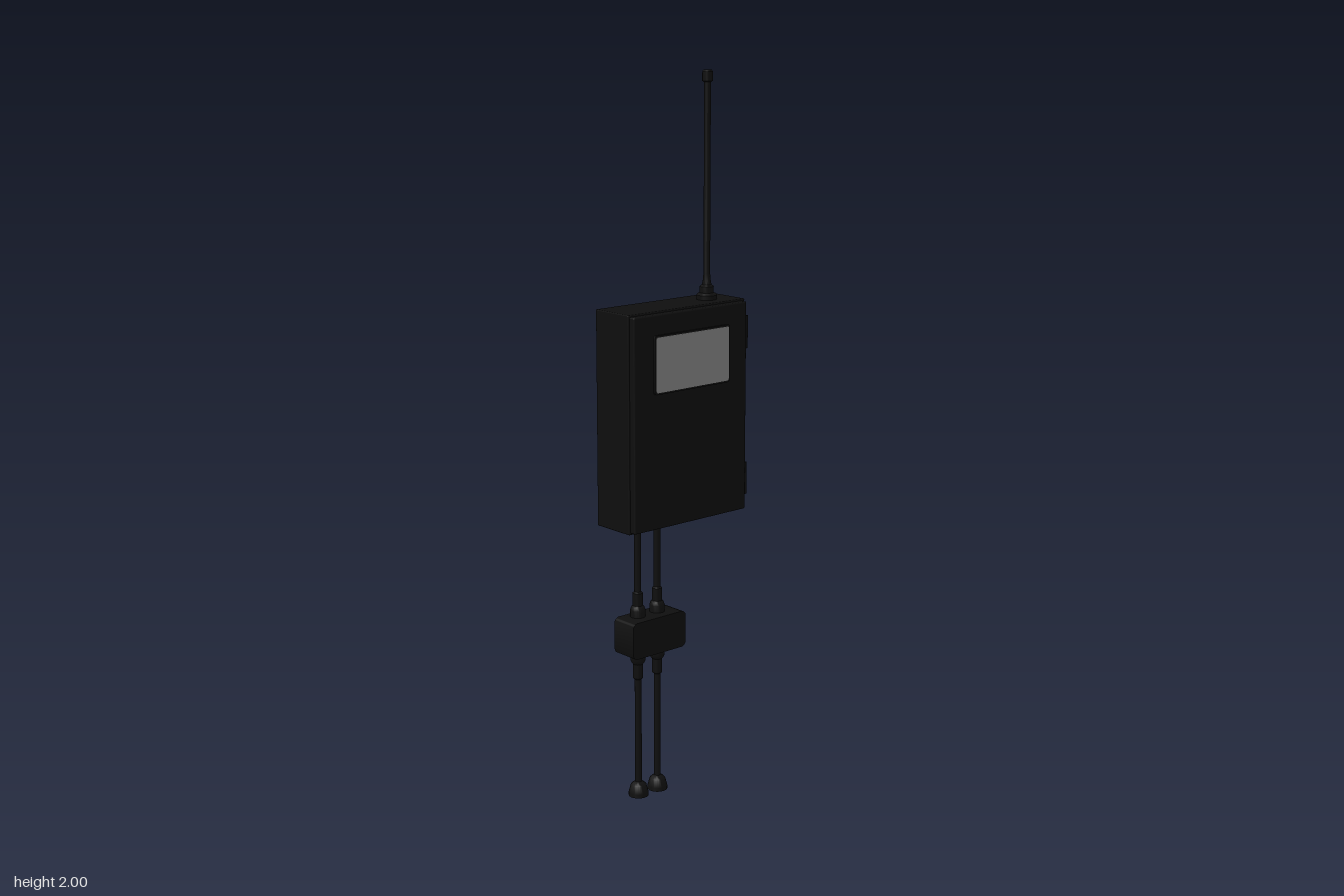
import * as THREE from 'three';
import { RoundedBoxGeometry } from 'three/addons/geometries/RoundedBoxGeometry.js';
import { toCreasedNormals } from 'three/addons/utils/BufferGeometryUtils.js';

const black = new THREE.MeshStandardMaterial({ color: 0x0e0e0e });
const glass = new THREE.MeshStandardMaterial({ color: 0x808080 });

// rounded rectangle in the XY plane, extruded along z
function plate(x0, x1, y0, y1, z0, z1, r) {
  const s = new THREE.Shape();
  s.moveTo(x0 + r, y0);
  s.lineTo(x1 - r, y0);
  s.absarc(x1 - r, y0 + r, r, -Math.PI / 2, 0);
  s.absarc(x1 - r, y1 - r, r, 0, Math.PI / 2);
  s.absarc(x0 + r, y1 - r, r, Math.PI / 2, Math.PI);
  s.absarc(x0 + r, y0 + r, r, Math.PI, Math.PI * 1.5);
  const g = new THREE.ExtrudeGeometry(s, { depth: z1 - z0, bevelEnabled: false, curveSegments: 6 });
  g.translate(0, 0, z0);
  return toCreasedNormals(g, 0.7);
}

// turned part from [radius, y] pairs, bottom to top
function turned(profile, segments = 24) {
  const pts = profile.map(([r, y]) => new THREE.Vector2(r, y));
  return toCreasedNormals(new THREE.LatheGeometry(pts, segments), 0.6);
}

export function createModel() {
  const model = new THREE.Group();
  const add = (name, geometry, material = black, x = 0, y = 0, z = 0) => {
    const m = new THREE.Mesh(geometry, material);
    m.name = name;
    m.position.set(x, y, z);
    model.add(m);
    return m;
  };

  // enclosure and front door
  add('enclosure', new RoundedBoxGeometry(0.414, 0.59, 0.132, 2, 0.003), black, -0.002, 1.095, -0.014);
  add('door', new RoundedBoxGeometry(0.4, 0.58, 0.022, 2, 0.004), black, -0.005, 1.095, 0.06);

  // display window
  add('screenFrame', plate(-0.139, 0.129, 1.173, 1.331, 0.065, 0.0765, 0.008));
  add('screen', plate(-0.134, 0.124, 1.178, 1.326, 0.066, 0.0775, 0.006), glass);

  // hinge barrels on the door edge
  for (const y of [0.89, 1.30]) {
    add('hinge', new THREE.CylinderGeometry(0.006, 0.006, 0.09, 12), black, 0.201, y, 0.061);
  }

  // antenna with stepped base and tip cap
  add('antenna', turned([
    [0, 1.385], [0.028, 1.385], [0.028, 1.402], [0.024, 1.406], [0.019, 1.408], [0.019, 1.425],
    [0.013, 1.43], [0.011, 1.44], [0.009, 1.46], [0.009, 1.968], [0.014, 1.971], [0.014, 1.996],
    [0.011, 2], [0, 2],
  ]), black, 0.121, 0, -0.009);

  // inline junction box
  add('junctionBox', plate(-0.157, 0.034, 0.424, 0.528, -0.075, 0.005, 0.016));

  // probe cables: foot, cable, strain reliefs and glands
  for (const x of [-0.1, -0.03]) {
    const z = -0.043;
    add('cable', new THREE.CylinderGeometry(0.0095, 0.0095, 0.78, 16), black, x, 0.415, z);
    add('probeFoot', turned([
      [0, 0], [0.028, 0], [0.028, 0.01], [0.022, 0.032], [0.016, 0.038], [0.009, 0.042],
    ]), black, x, 0, z);
    add('cableGland', turned([
      [0.009, 0.768], [0.015, 0.77], [0.018, 0.784], [0.021, 0.786], [0.021, 0.805],
    ]), black, x, 0, z);
    add('upperStrainRelief', turned([
      [0.021, 0.52], [0.021, 0.548], [0.018, 0.556], [0.014, 0.56], [0.014, 0.596], [0.009, 0.6],
    ]), black, x, 0, z);
    add('lowerStrainRelief', turned([
      [0.009, 0.345], [0.014, 0.349], [0.014, 0.39], [0.018, 0.394], [0.021, 0.402], [0.021, 0.43],
    ]), black, x, 0, z);
  }
  return model;
}
